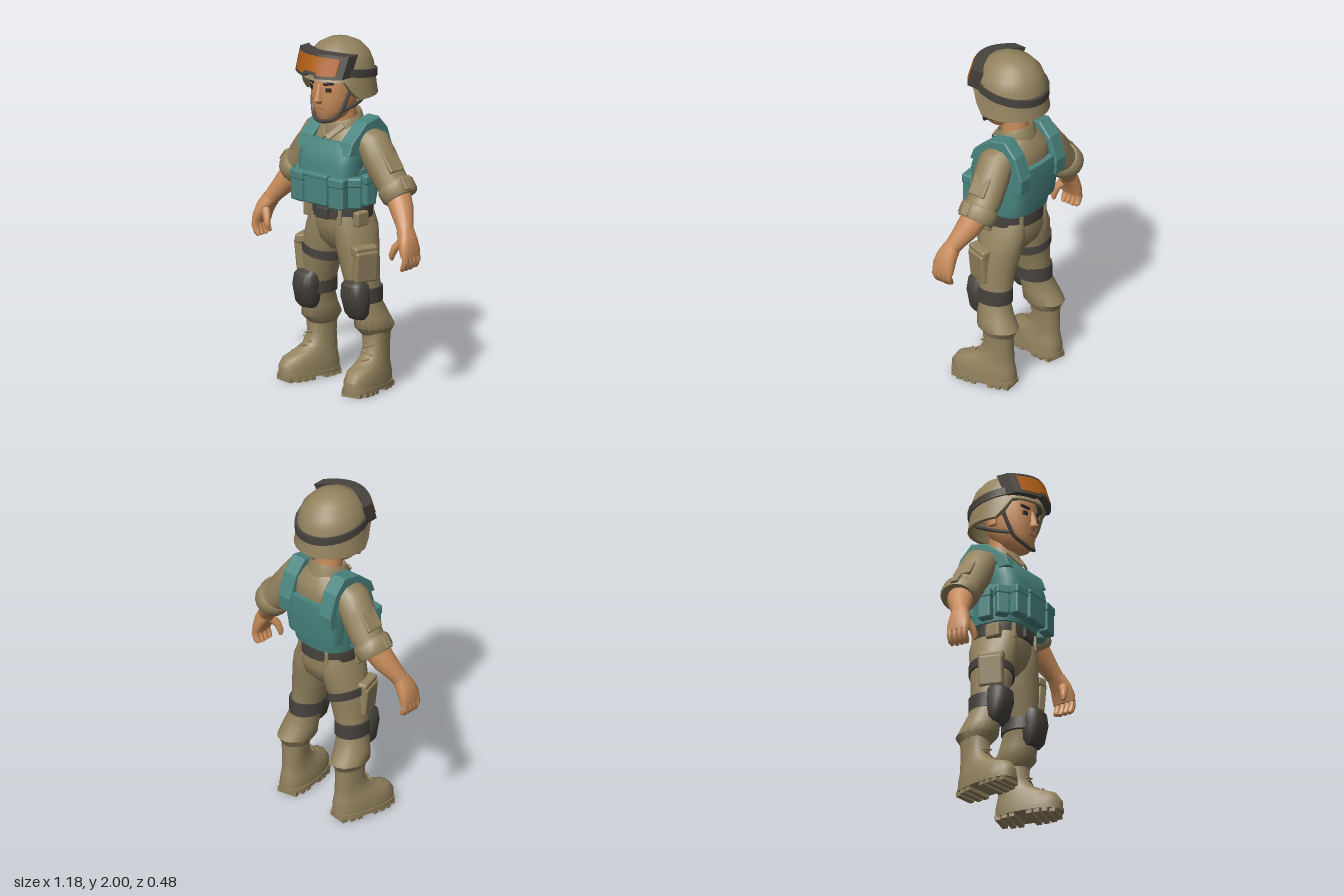
import * as THREE from 'three';
import { toCreasedNormals } from 'three/addons/utils/BufferGeometryUtils.js';
import { RoundedBoxGeometry } from 'three/addons/geometries/RoundedBoxGeometry.js';

const material = (name, color) => {
  const m = new THREE.MeshStandardMaterial({ color, side: THREE.DoubleSide });
  m.name = name;
  return m;
};

// Skin stretched over elliptical rings listed bottom to top.
// ring: [x, y, z, radiusX, radiusZ, slope along z, slope along x]
// follow: rings stand square to the path; p: squareness of the outline
function loft(rings, { n = 18, p = 2, follow = false, caps = true } = {}) {
  const pos = [], idx = [];
  const C = rings.map(r => new THREE.Vector3(r[0], r[1], r[2]));
  const Z = new THREE.Vector3(0, 0, 1);
  const pw = v => Math.sign(v) * Math.abs(v) ** (2 / p);
  rings.forEach((r, i) => {
    let u = new THREE.Vector3(1, 0, 0), v = Z.clone();
    if (follow) {
      const t = C[Math.min(i + 1, C.length - 1)].clone().sub(C[Math.max(i - 1, 0)]).normalize();
      u = t.clone().cross(Z).normalize();
      v = u.clone().cross(t);
    }
    for (let j = 0; j < n; j++) {
      const a = j / n * Math.PI * 2;
      const du = pw(Math.cos(a)) * r[3], dv = pw(Math.sin(a)) * r[4];
      const q = C[i].clone().addScaledVector(u, du).addScaledVector(v, dv);
      pos.push(q.x, q.y + dv * (r[5] || 0) + du * (r[6] || 0), q.z);
    }
  });
  const last = rings.length - 1;
  for (let i = 0; i < last; i++) for (let j = 0; j < n; j++) {
    const a = i * n + j, b = i * n + (j + 1) % n, c = a + n, d = b + n;
    idx.push(a, c, b, b, c, d);
  }
  if (caps) {
    const lo = pos.length / 3, hi = lo + 1;
    pos.push(...C[0].toArray(), ...C[last].toArray());
    for (let j = 0; j < n; j++) {
      const k = (j + 1) % n;
      idx.push(lo, j, k, hi, last * n + k, last * n + j);
    }
  }
  const g = new THREE.BufferGeometry();
  g.setAttribute('position', new THREE.Float32BufferAttribute(pos, 3));
  g.setIndex(idx);
  return toCreasedNormals(g, 0.75);
}

// Strap ring with a little thickness
const band = (x, y, z, rx, rz, h, sz = 0, sx = 0) => loft(
  [[-0.02, -h / 2], [0, -h / 2], [0, h / 2], [-0.02, h / 2]].map(([d, dy]) => [x, y + dy, z, rx + d, rz + d, sz, sx]),
  { n: 24, caps: false });

// Move the vertices of a geometry by a rule
function warp(g, rule) {
  const a = g.attributes.position, v = new THREE.Vector3();
  for (let i = 0; i < a.count; i++) {
    v.fromBufferAttribute(a, i);
    rule(v);
    a.setXYZ(i, v.x, v.y, v.z);
  }
  return toCreasedNormals(g, 0.75);
}

export function createModel() {
  const root = new THREE.Group();
  root.name = 'soldier';
  const cloth = material('khaki cloth', 0x93835f);
  const teal = material('teal vest', 0x4a8580);
  const skin = material('skin', 0xc98d5c);
  const dark = material('dark gear', 0x47433d);
  const amber = material('amber lens', 0xb05f14);
  const ink = material('eyes and brows', 0x2f2722);
  const lip = material('lips', 0xa56c45);

  const add = (name, geo, mat, p = [0, 0, 0], r = [0, 0, 0]) => {
    const m = new THREE.Mesh(geo, mat);
    m.name = name;
    m.position.set(...p);
    m.rotation.set(...r);
    root.add(m);
    return m;
  };
  const box = (w, h, d, r = 0.012) => new RoundedBoxGeometry(w, h, d, 2, r);
  const tube = (pts, r, seg = 24) => new THREE.TubeGeometry(
    new THREE.CatmullRomCurve3(pts.map(p => new THREE.Vector3(...p))), seg, r, 6);

  // Head and neck
  add('head', loft([[0, 1.53, 0.08, 0.04, 0.045], [0, 1.56, 0.06, 0.075, 0.085], [0, 1.61, 0.035, 0.105, 0.12],
    [0, 1.68, 0.02, 0.125, 0.14], [0, 1.76, 0.01, 0.13, 0.15], [0, 1.84, 0, 0.13, 0.15]], { p: 2.3 }), skin);
  add('neck', loft([[0, 1.42, -0.05, 0.085, 0.08], [0, 1.52, -0.04, 0.075, 0.075], [0, 1.64, -0.03, 0.08, 0.08]]), skin);
  add('nose', loft([[0, 1.645, 0.155, 0.015, 0.012], [0, 1.665, 0.16, 0.026, 0.034], [0, 1.69, 0.16, 0.018, 0.027],
    [0, 1.76, 0.152, 0.012, 0.012]], { n: 8 }), skin);
  add('mouth', box(0.055, 0.008, 0.008, 0.003), lip, [0, 1.618, 0.155]);

  // Helmet, with its rim raised over the face
  const rim = z => 1.68 + 0.11 * THREE.MathUtils.smoothstep(z, 0.05, 0.13);
  add('helmet', warp(loft([[0, 1.66, -0.01, 0.185, 0.2], [0, 1.66, -0.01, 0.208, 0.222], [0, 1.72, -0.01, 0.2, 0.215],
    [0, 1.79, -0.01, 0.192, 0.208], [0, 1.85, -0.01, 0.185, 0.2], [0, 1.91, -0.01, 0.162, 0.178],
    [0, 1.96, -0.01, 0.117, 0.132], [0, 1.99, -0.005, 0.062, 0.072], [0, 2, 0, 0.015, 0.015]], { n: 28, caps: false }),
    v => { if (v.y < 1.83) v.y = 1.83 - (1.83 - v.y) * (1.83 - rim(v.z)) / 0.17; }), cloth);
  add('helmetCrown', new THREE.CircleGeometry(0.016, 28), cloth, [0, 2, 0], [-Math.PI / 2, 0, 0]);
  add('goggleStrap', band(0, 1.82, -0.01, 0.2, 0.223, 0.045, 0.17), dark);
  const bend = v => {
    const k = 1 - (v.x / 0.18) ** 2;
    if (v.y > 0) v.y += 0.012 * k;
    else if (Math.abs(v.x) < 0.045) v.y += 0.018;
    v.x *= 1 + v.y * 0.4;
    v.z -= 2.7 * v.x * v.x + v.y * 0.32;
  };
  add('goggleFrame', warp(new THREE.BoxGeometry(0.36, 0.125, 0.075, 16, 2, 1), bend), dark, [0, 1.875, 0.187]);
  add('goggleLens', warp(new THREE.BoxGeometry(0.3, 0.09, 0.009, 16, 2, 1), bend), amber, [0, 1.876, 0.225]);

  // Chin strap
  const half = [[0.14, 1.74, 0.05], [0.125, 1.66, 0.075], [0.1, 1.59, 0.1], [0.05, 1.55, 0.135]];
  add('chinStrap', tube([...half, [0, 1.54, 0.14], ...half.map(([x, y, z]) => [-x, y, z]).reverse()], 0.011, 40), dark);

  // Shirt and collar
  add('shirt', loft([[0, 0.98, -0.03, 0.165, 0.145], [0, 1.15, -0.03, 0.175, 0.155], [0, 1.3, -0.04, 0.185, 0.165],
    [0, 1.4, -0.055, 0.2, 0.15], [0, 1.46, -0.065, 0.18, 0.13], [0, 1.52, -0.06, 0.1, 0.09]], { p: 2.4 }), cloth);
  add('collar', loft([[0, 1.46, -0.045, 0.125, 0.12, -0.25], [0, 1.53, -0.04, 0.112, 0.108, -0.3],
    [0, 1.555, -0.04, 0.1, 0.098, -0.3], [0, 1.53, -0.04, 0.09, 0.085, -0.3]], { caps: false }), cloth);

  // Vest: waist, chest and back panels
  add('vestWaist', loft([[0, 1.055, -0.03, 0.185, 0.16], [0, 1.15, -0.03, 0.195, 0.18], [0, 1.27, -0.035, 0.198, 0.19],
    [0, 1.29, -0.035, 0.18, 0.17]], { p: 2.7, n: 24 }), teal);
  add('vestChest', loft([[0, 1.16, 0.06, 0.185, 0.1], [0, 1.3, 0.06, 0.195, 0.105], [0, 1.38, 0.045, 0.195, 0.09],
    [0, 1.425, 0.035, 0.185, 0.072]], { p: 3.5, n: 24 }), teal);
  add('vestBack', loft([[0, 1.12, -0.13, 0.18, 0.08], [0, 1.3, -0.14, 0.195, 0.096], [0, 1.375, -0.145, 0.185, 0.088]],
    { p: 3.5, n: 24 }), teal);
  add('vestPouchCentre', box(0.17, 0.17, 0.06), teal, [0, 1.155, 0.165]);
  add('vestPouchCentreFlap', box(0.175, 0.03, 0.065), teal, [0, 1.235, 0.165]);

  // Belt and hips
  add('hips', loft([[0, 0.79, -0.03, 0.04, 0.08], [0, 0.85, -0.035, 0.14, 0.13], [0, 0.93, -0.035, 0.185, 0.153],
    [0, 1.03, -0.03, 0.172, 0.147]], { p: 2.3 }), cloth);
  add('belt', band(0, 1.015, -0.03, 0.186, 0.158, 0.07), dark);
  add('buckle', box(0.09, 0.065, 0.025, 0.008), dark, [0, 1.012, 0.13]);

  for (const s of [1, -1]) {
    const side = s > 0 ? 'left' : 'right';
    const at = rings => rings.map(([x, ...r]) => [s * x, ...r]);
    const part = (name, rings, mat, o = { follow: true }) => add(side + name, loft(at(rings), o), mat);
    const block = (name, geo, mat, [x, y, z], [rx, ry, rz] = [0, 0, 0]) =>
      add(side + name, geo, mat, [s * x, y, z], [rx, s * ry, s * rz]);

    // Face
    block('Brow', box(0.062, 0.018, 0.009, 0.004), ink, [0.064, 1.768, 0.15], [0, 0.45, 0.18]);
    block('Eye', box(0.034, 0.026, 0.009, 0.004), ink, [0.064, 1.732, 0.15], [0, 0.45, 0]);
    block('Ear', box(0.025, 0.075, 0.05), skin, [0.132, 1.7, -0.02]);
    add(side + 'NapeStrap', tube([[0.115, 1.61, 0.085], [0.13, 1.64, -0.02], [0.12, 1.69, -0.13]]
      .map(([x, y, z]) => [s * x, y, z]), 0.01), dark);
    block('CollarFlap', box(0.035, 0.12, 0.012, 0.005), cloth, [0.045, 1.475, 0.075], [-0.5, 0.3, -0.65]);

    // Vest shoulder strap
    const strap = new THREE.Shape([[0.12, 1.37], [0.095, 1.43], [-0.02, 1.525], [-0.12, 1.545], [-0.19, 1.47], [-0.236, 1.34],
      [-0.23, 1.26], [-0.18, 1.26], [-0.19, 1.36], [-0.15, 1.44], [-0.11, 1.49], [-0.02, 1.47], [0.05, 1.4], [0.06, 1.37]]
      .map(p => new THREE.Vector2(...p)));
    const strapGeo = new THREE.ExtrudeGeometry(strap, { depth: 0.075, bevelSize: 0.008, bevelThickness: 0.008, bevelSegments: 1 });
    block('VestStrap', strapGeo.rotateY(-Math.PI / 2).translate(0.0375, 0, 0), teal, [0.152, 0, 0]);

    // Vest pouches with flaps
    [[0.145, 0.158, 0.1, 0.12], [0.202, 0.085, 0.075, 0.75], [0.205, -0.02, 0.08, 1.5]].forEach(([x, z, w, turn], i) => {
      block('Pouch' + i, box(w, 0.15, 0.06), teal, [x, 1.14, z], [0, turn, 0]);
      block('PouchFlap' + i, box(w + 0.008, 0.055, 0.068), teal, [x, 1.215, z], [0, turn, 0]);
    });

    // Arm
    part('Sleeve', [[0.385, 1.155, -0.08, 0.082, 0.09], [0.32, 1.22, -0.078, 0.09, 0.1], [0.25, 1.33, -0.07, 0.095, 0.105],
      [0.2, 1.41, -0.065, 0.09, 0.105], [0.12, 1.45, -0.06, 0.06, 0.09]], cloth);
    part('Cuff', [[0.405, 1.13, -0.08, 0.09, 0.1], [0.393, 1.145, -0.08, 0.1, 0.112], [0.36, 1.185, -0.08, 0.102, 0.114],
      [0.347, 1.2, -0.08, 0.092, 0.102]], cloth);
    block('CuffTab', box(0.02, 0.075, 0.045, 0.006), cloth, [0.455, 1.225, -0.06], [0, 0, 0.64]);
    block('SleevePocket', box(0.025, 0.12, 0.11, 0.01), cloth, [0.347, 1.325, -0.07], [0, 0, 0.62]);
    part('Forearm', [[0.515, 0.965, 0.005, 0.044, 0.046], [0.485, 1.01, -0.015, 0.05, 0.052], [0.43, 1.085, -0.05, 0.066, 0.07],
      [0.37, 1.17, -0.075, 0.072, 0.08]], skin);
    part('Palm', [[0.562, 0.84, 0.02, 0.026, 0.068], [0.555, 0.88, 0.018, 0.034, 0.07], [0.535, 0.93, 0.012, 0.042, 0.06],
      [0.505, 0.98, 0, 0.045, 0.047]], skin, { follow: true, p: 2.6 });
    [-0.028, 0.004, 0.036, 0.066].forEach((z, i) => part('Finger' + i, [[0.54, 0.765 + 0.01 * (i === 0), z, 0.011, 0.011],
      [0.555, 0.785, z, 0.018, 0.018], [0.57, 0.82, z, 0.02, 0.019], [0.563, 0.87, z, 0.02, 0.019]], skin, { follow: true, n: 8 }));
    part('Thumb', [[0.468, 0.815, 0.07, 0.01, 0.01], [0.47, 0.84, 0.072, 0.018, 0.018], [0.485, 0.885, 0.062, 0.022, 0.022],
      [0.525, 0.935, 0.03, 0.026, 0.028]], skin, { follow: true, n: 10 });

    // Trouser leg and pocket
    part('TrouserLeg', [[0.2, 0.31, -0.09, 0.07, 0.085], [0.2, 0.36, -0.08, 0.1, 0.127], [0.195, 0.42, -0.06, 0.094, 0.112],
      [0.18, 0.5, -0.035, 0.084, 0.1], [0.165, 0.58, -0.025, 0.088, 0.106], [0.145, 0.7, -0.022, 0.102, 0.12],
      [0.12, 0.82, -0.027, 0.112, 0.136], [0.105, 0.92, -0.032, 0.098, 0.15], [0.09, 1, -0.03, 0.08, 0.14]], cloth, {});
    block('LegPocket', box(0.055, 0.18, 0.14, 0.015), cloth, [0.23, 0.725, 0.03], [0, -0.3, -0.1]);
    block('LegPocketFlap', box(0.06, 0.055, 0.148, 0.015), cloth, [0.225, 0.815, 0.03], [0, -0.3, -0.1]);
    block('BeltPouch', box(0.045, 0.085, 0.09), cloth, [0.188, 0.99, 0.02]);
    block('BeltLoop', box(0.022, 0.09, 0.02, 0.005), cloth, [0.11, 1.005, 0.105], [0, 0.5, 0]);
    block('BackBeltLoop', box(0.022, 0.085, 0.02, 0.005), cloth, [0.1, 1.01, -0.165], [0, -0.5, 0]);

    // Knee pad
    part('KneePad', [[0.187, 0.42, 0.045, 0.05, 0.03], [0.187, 0.45, 0.05, 0.07, 0.05], [0.182, 0.55, 0.055, 0.081, 0.072],
      [0.178, 0.615, 0.055, 0.076, 0.065], [0.172, 0.645, 0.045, 0.058, 0.04]], dark, { p: 2.8 });
    add(side + 'KneeStrap', band(s * 0.171, 0.55, -0.028, 0.094, 0.112, 0.085), dark);

    // Boot, toes turned out
    const boot = new THREE.Group();
    boot.name = side + 'Boot';
    boot.position.x = s * 0.222;
    boot.rotation.y = s * 0.18;
    const piece = (name, geo, mat, p = [0, 0, 0], r = [0, 0, 0]) => boot.add(add(name, geo, mat, p, r));
    piece('bootUpper', loft([[0, 0.03, 0, 0.088, 0.197], [0, 0.085, 0, 0.088, 0.197], [0, 0.13, -0.01, 0.08, 0.178],
      [0, 0.155, -0.04, 0.073, 0.142], [0, 0.19, -0.075, 0.068, 0.105], [0, 0.25, -0.09, 0.065, 0.085],
      [0, 0.345, -0.09, 0.074, 0.088]], { p: 2.4 }), cloth);
    piece('bootSole', loft([[0, 0.022, 0, 0.092, 0.2], [0, 0.045, 0, 0.092, 0.2]], { p: 2.6 }), cloth);
    for (const [z, w] of [[-0.165, 0.12], [-0.12, 0.15], [-0.075, 0.16], [0.03, 0.17], [0.075, 0.17], [0.12, 0.16], [0.16, 0.12]])
      piece('bootTread', new THREE.BoxGeometry(w, 0.03, 0.032), cloth, [0, 0.015, z]);
    for (let i = 0; i < 4; i++)
      piece('bootLace', box(0.075, 0.01, 0.012, 0.004), cloth,
        [0, 0.15 + i * 0.035, [0.092, 0.045, 0.012, 0][i]], [0, 0, i % 2 ? 0.3 : -0.3]);
    root.add(boot);
  }

  // Single thigh strap on the right leg
  add('thighStrap', band(-0.135, 0.762, -0.025, 0.114, 0.134, 0.05, 0, -0.3), dark);
  return root;
}
